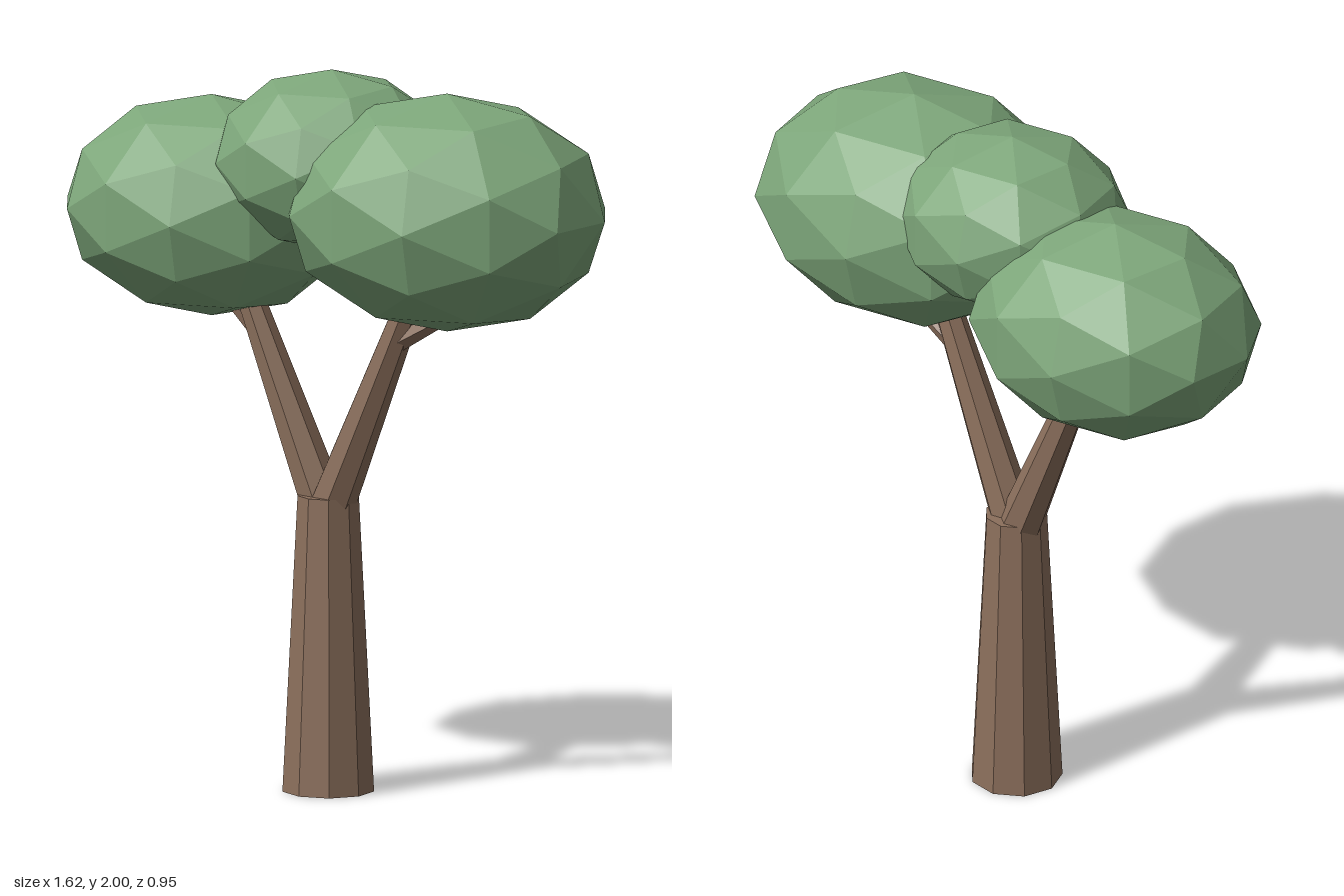
import * as THREE from 'three';

export function createModel() {
  const tree = new THREE.Group();
  tree.name = 'tree';
  const bark = new THREE.MeshStandardMaterial({ color: 0x8b6f5c, flatShading: true });
  const leaves = new THREE.MeshStandardMaterial({ color: 0x7da67a, flatShading: true });

  // Tapered limb running from one point to another
  function limb(name, from, to, r0, r1, sides) {
    const a = new THREE.Vector3(...from), b = new THREE.Vector3(...to);
    const dir = b.clone().sub(a);
    const mesh = new THREE.Mesh(new THREE.CylinderGeometry(r1, r0, dir.length(), sides), bark);
    mesh.position.copy(a).add(b).multiplyScalar(0.5);
    mesh.quaternion.setFromUnitVectors(new THREE.Vector3(0, 1, 0), dir.normalize());
    mesh.name = name;
    tree.add(mesh);
    return mesh;
  }

  // Faceted, squashed ball of foliage
  function foliage(name, centre, radii) {
    const mesh = new THREE.Mesh(new THREE.IcosahedronGeometry(1, 1), leaves);
    mesh.position.set(...centre);
    mesh.scale.set(...radii);
    mesh.name = name;
    tree.add(mesh);
  }

  // Nine-sided trunk with one edge at the back
  limb('trunk', [-0.025, 0, -0.012], [-0.025, 0.82, -0.012], 0.127, 0.085, 9).rotation.y = Math.PI;

  // Main fork and the small twigs that enter the foliage
  limb('leftBranch', [-0.025, 0.76, -0.005], [0.24, 1.4, 0.055], 0.065, 0.038, 7);
  limb('rightBranch', [-0.03, 0.76, -0.02], [-0.275, 1.37, -0.06], 0.065, 0.037, 7);
  limb('leftTwig', [0.19, 1.265, 0.045], [0.37, 1.365, 0.075], 0.032, 0.02, 6);
  limb('rightTwig', [-0.23, 1.255, -0.052], [-0.37, 1.385, -0.08], 0.032, 0.02, 6);

  // Crown
  foliage('leftFoliage', [0.355, 1.645, 0.095], [0.455, 0.33, 0.38]);
  foliage('rightFoliage', [-0.4, 1.582, -0.125], [0.415, 0.307, 0.355]);
  foliage('topFoliage', [-0.015, 1.75, -0.015], [0.33, 0.25, 0.305]);

  return tree;
}
